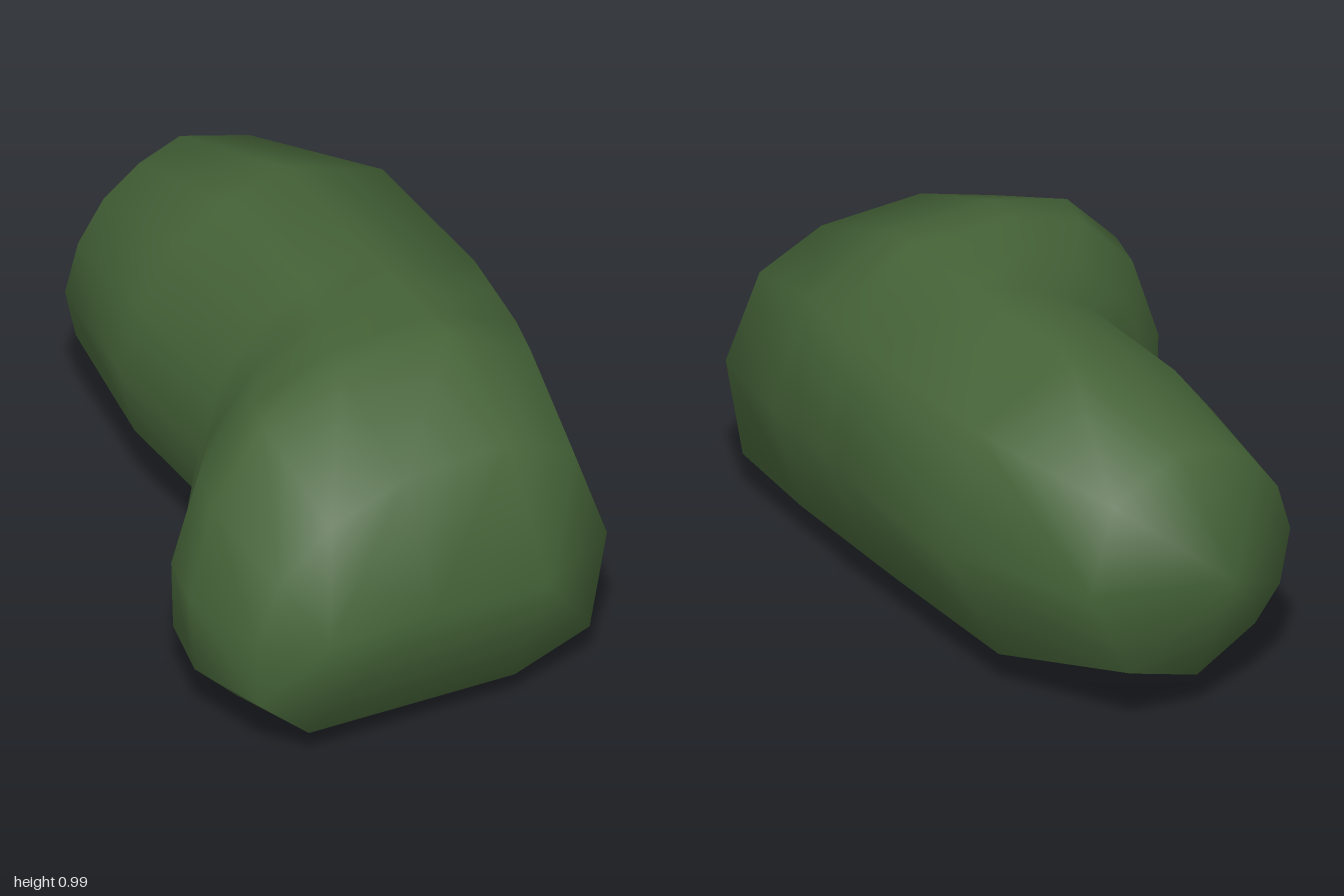
import * as THREE from 'three';
import { mergeVertices } from 'three/addons/utils/BufferGeometryUtils.js';

// Cross-sections (x, y), counter-clockwise seen from the front
const REAR = [[0.65, 0.51], [0.54, 0.86], [0.22, 0.985], [0.03, 0.935], [-0.13, 0.84], [-0.25, 0.68],
  [-0.31, 0.48], [-0.26, 0.26], [-0.14, 0.13], [0.14, 0.005], [0.46, 0.12]];
const FRONT = [[0.58, 0.49], [0.48, 0.83], [0.22, 0.97], [-0.12, 0.965], [-0.38, 0.88], [-0.56, 0.69],
  [-0.65, 0.42], [-0.65, 0.2], [-0.52, 0.07], [0.14, 0.0], [0.45, 0.12]];

// Rounded rim (x, y, z) around the front face
const RIM = [[0.49, 0.45, 0.88], [0.41, 0.73, 0.83], [0.21, 0.82, 0.82], [-0.12, 0.82, 0.815],
  [-0.36, 0.74, 0.81], [-0.53, 0.6, 0.82], [-0.6, 0.41, 0.81], [-0.6, 0.22, 0.82],
  [-0.46, 0.1, 0.86], [0.18, 0.09, 0.9], [0.44, 0.14, 0.87]];

const { lerp, mapLinear } = THREE.MathUtils;

// Blend of both sections: the lobe side and the outer side change at their own rate
const blend = (lobe, outer, z) => REAR.map(([x, y], i) => {
  const t = x > 0.1 ? outer : lobe;
  const px = lerp(x, FRONT[i][0], t), py = lerp(y, FRONT[i][1], t);
  return [px, py, z(px, py)];
});

function bodyGeometry() {
  // short ridge that closes the front face
  const right = [0.23, 0.45, 1], middle = [-0.12, 0.45, 0.97], left = [-0.43, 0.42, 0.925];
  const rings = [
    // pointed rear end
    REAR.map(() => [0.05, 0.49, -1]),
    REAR.map(([x, y]) => [mapLinear(x, -0.31, 0.65, -0.25, 0.45),
      mapLinear(y, 0.005, 0.985, 0.13, 0.86), -0.85 - 0.05 * (x - 0.17)]),
    // straight rear body, then the bend into the side lobe
    blend(0, 0, () => -0.43),
    blend(0, 0, (x) => 0.03 + 0.08 * x),
    blend(0.45, 0.25, () => 0.2),
    blend(0.88, 0.58, () => 0.36),
    blend(1, 1, (x, y) => 0.58 - 0.12 * y),
    // rounded front
    RIM,
    [right, right, right, middle, left, left, left, left, left, middle, right],
  ];
  const n = REAR.length, index = [];
  for (let i = 0; i < rings.length - 1; i++) {
    for (let j = 0; j < n; j++) {
      const k = (j + 1) % n;
      const a = i * n + j, b = i * n + k, c = b + n, d = a + n;
      if (i > 0) index.push(a, b, c);
      index.push(a, c, d);
    }
  }
  const geometry = new THREE.BufferGeometry();
  geometry.setAttribute('position', new THREE.Float32BufferAttribute(rings.flat(2), 3));
  geometry.setIndex(index);
  const merged = mergeVertices(geometry);
  merged.computeVertexNormals();
  return merged;
}

export function createModel() {
  const group = new THREE.Group();
  group.name = 'bush';
  const leafGreen = new THREE.MeshStandardMaterial({ color: 0x456338 });
  leafGreen.name = 'leaf green';
  const foliage = new THREE.Mesh(bodyGeometry(), leafGreen);
  foliage.name = 'foliage';
  group.add(foliage);
  return group;
}
